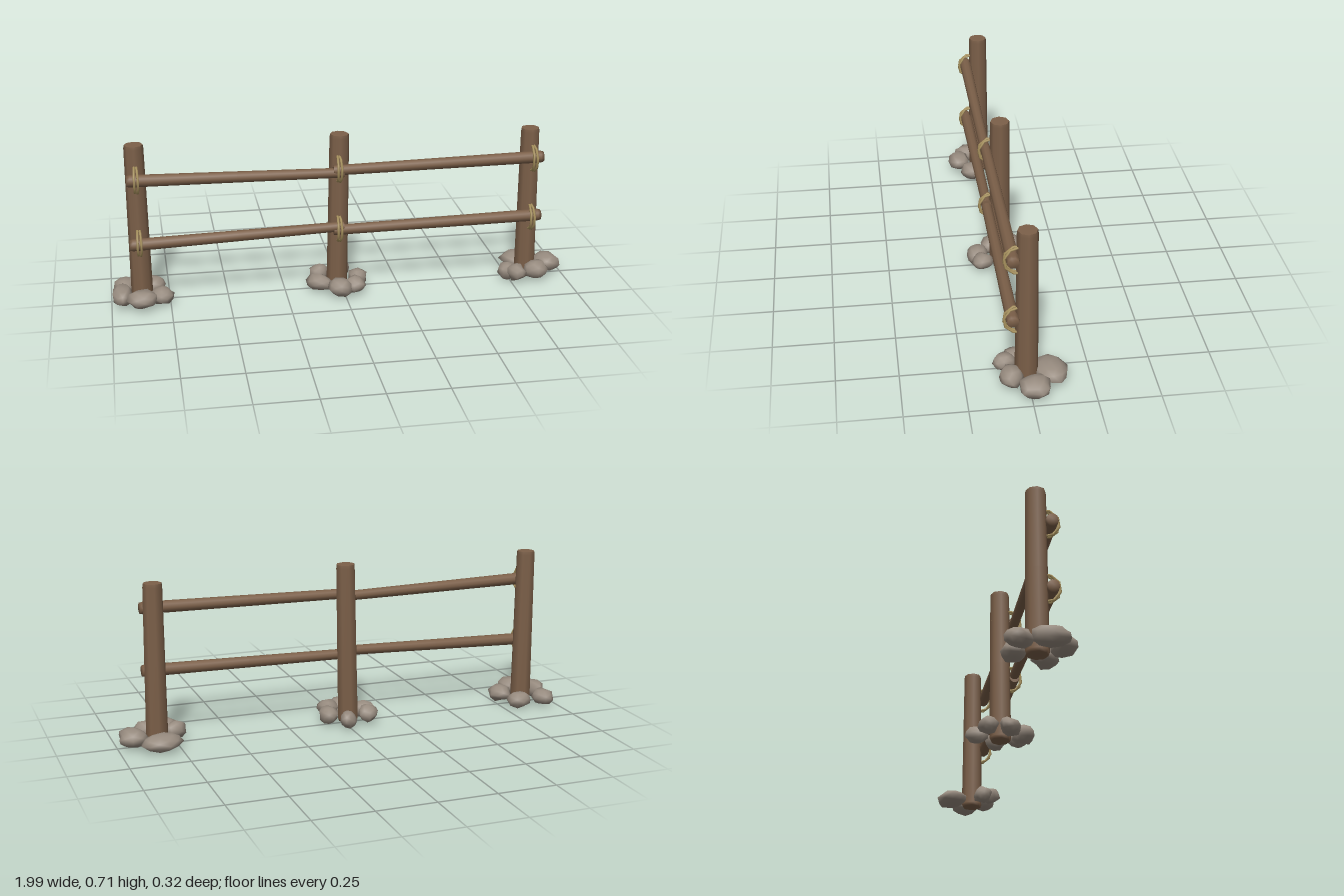
import * as THREE from 'three';
import { mergeVertices } from 'three/addons/utils/BufferGeometryUtils.js';

const material = (name, color) => {
  const m = new THREE.MeshStandardMaterial({ color });
  m.name = name;
  return m;
};

export function createModel() {
  const group = new THREE.Group();
  const wood = material('brown wood', 0x7c6049);
  const stone = material('grey stone', 0x978b7f);
  const rope = material('straw rope', 0xa8925e);

  const add = (name, geometry, mat) => {
    const mesh = new THREE.Mesh(geometry, mat);
    mesh.name = name;
    group.add(mesh);
    return mesh;
  };

  let seed = 7;
  const random = () => (seed = (seed * 16807) % 2147483647) / 2147483647;

  // Tapered log between two points, with a small bevel at each end
  const log = (name, a, b, r0, r1, sides) => {
    const start = new THREE.Vector3(...a), axis = new THREE.Vector3(...b).sub(start);
    const h = axis.length(), bevel = 0.014;
    const profile = [[0, 0], [r0 * 0.88, 0], [r0, bevel], [r0 + (r1 - r0) * 0.5, h / 2],
      [r1, h - bevel], [r1 * 0.95, h], [r1 * 0.95, h], [0, h]];
    const geo = new THREE.LatheGeometry(profile.map(p => new THREE.Vector2(...p)), sides);
    const mesh = add(name, geo, wood);
    mesh.position.copy(start);
    mesh.quaternion.setFromUnitVectors(new THREE.Vector3(0, 1, 0), axis.normalize());
    return mesh;
  };

  // Upright posts
  log('leftEndPost', [-0.868, 0.01, 0.006], [-0.872, 0.708, 0.006], 0.046, 0.041, 8);
  log('middlePost', [-0.022, 0.01, 0.006], [-0.01, 0.71, 0.006], 0.046, 0.042, 8);
  log('rightEndPost', [0.83, 0.01, 0.006], [0.827, 0.693, 0.006], 0.047, 0.041, 8);

  // Rails, overlapping at the middle post
  log('upperRail', [-0.91, 0.57, 0.064], [0.0, 0.555, 0.064], 0.026, 0.021, 10);
  log('upperRail', [0.872, 0.578, 0.064], [-0.045, 0.567, 0.064], 0.026, 0.022, 10);
  log('lowerRail', [-0.91, 0.285, 0.064], [0.0, 0.312, 0.064], 0.026, 0.021, 10);
  log('lowerRail', [0.872, 0.31, 0.064], [-0.045, 0.297, 0.064], 0.026, 0.022, 10);

  // Rope loops tying the rails to the posts, two turns each
  for (const [x, y] of [[-0.87, 0.567], [-0.87, 0.287], [-0.02, 0.567],
    [-0.02, 0.297], [0.832, 0.567], [0.832, 0.297]]) {
    for (const side of [-1, 1]) {
      const loop = add('ropeLoop', new THREE.TorusGeometry(0.059, 0.0055, 6, 9), rope);
      loop.position.set(x + side * 0.004, y, 0.034);
      loop.rotation.set(0, Math.PI / 2 + side * 0.06, side * 0.12);
      loop.scale.x = 1.06;
    }
  }

  // Low-poly stones around each post: x, z, half width, half depth, turn
  const piles = {
    leftStone: [[-0.94, -0.075, 0.048, 0.055, 0.3], [-0.82, -0.075, 0.058, 0.05, 0],
      [-0.952, 0.045, 0.046, 0.08, 0], [-0.867, 0.105, 0.066, 0.05, 0.1],
      [-0.785, 0.05, 0.052, 0.056, 0.4]],
    middleStone: [[-0.09, -0.055, 0.046, 0.042, 0.5], [0.012, -0.09, 0.035, 0.05, -0.5],
      [0.07, 0.0, 0.042, 0.048, 0.2], [0.042, 0.09, 0.045, 0.05, 0.3],
      [-0.022, 0.105, 0.054, 0.05, 0], [-0.105, 0.035, 0.06, 0.04, -0.6]],
    rightStone: [[0.832, -0.09, 0.088, 0.068, 0.3], [0.935, -0.012, 0.062, 0.068, -0.2],
      [0.865, 0.07, 0.055, 0.05, 0], [0.77, 0.085, 0.04, 0.048, 0.3],
      [0.74, 0.045, 0.05, 0.04, 0.5]],
  };
  for (const [name, stones] of Object.entries(piles)) {
    for (const [x, z, w, d, turn] of stones) {
      let geo = new THREE.IcosahedronGeometry(1, 1);
      geo.deleteAttribute('uv');
      geo.deleteAttribute('normal');
      geo = mergeVertices(geo, 0.001);
      const p = geo.attributes.position;
      for (let i = 0; i < p.count; i++) {
        const s = 0.84 + 0.28 * random();
        p.setXYZ(i, p.getX(i) * s, p.getY(i) * s, p.getZ(i) * s);
      }
      geo.scale(w, 0.037 + 0.004 * random(), d);
      geo.rotateY(turn);
      geo.computeVertexNormals();
      const rock = add(name, geo, stone);
      geo.computeBoundingBox();
      rock.position.set(x, 0.004 + 0.01 * random() - geo.boundingBox.min.y, z);
    }
  }

  return group;
}
